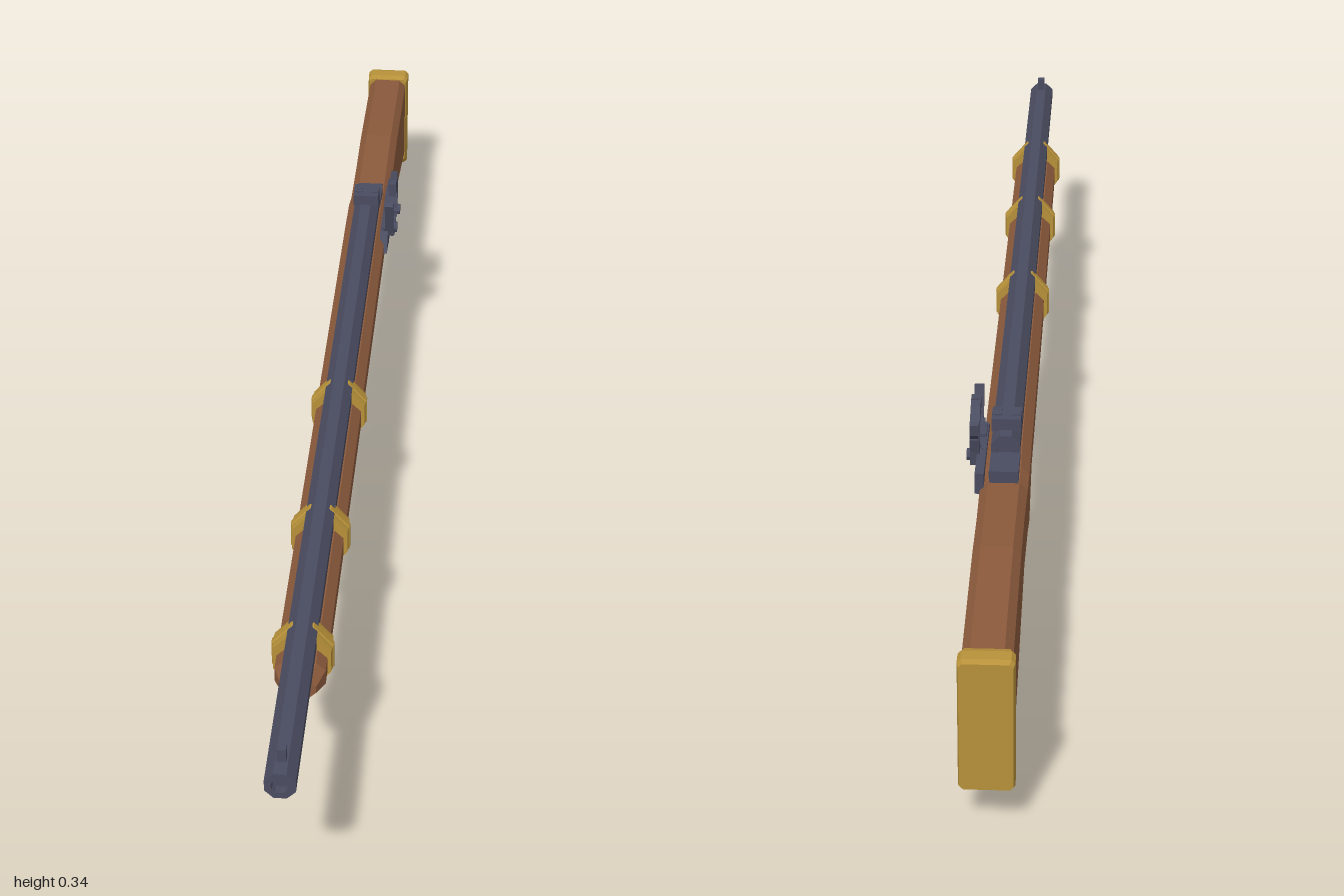
import * as THREE from 'three';

const mat = (name, color) => {
  const m = new THREE.MeshStandardMaterial({ color, flatShading: true });
  m.name = name;
  return m;
};

export function createModel() {
  const wood = mat('walnut wood', 0x8b5a3c);
  const steel = mat('blued steel', 0x4a4c60);
  const brass = mat('brass', 0xb8923a);
  const leather = mat('sling leather', 0x805136);

  const root = new THREE.Group();
  root.name = 'longRifle';
  const add = (name, geo, material, x = 0, y = 0, z = 0) => {
    const m = new THREE.Mesh(geo, material);
    m.name = name;
    m.position.set(x, y, z);
    root.add(m);
    return m;
  };

  // Chamfered rectangle, counter-clockwise seen from the front
  const ring = ([z, top, bottom, w, c]) => [
    [w, bottom + c], [w, top - c], [w - c, top], [c - w, top],
    [-w, top - c], [-w, bottom + c], [c - w, bottom], [w - c, bottom],
  ].map(([x, y]) => [x, y, z]);

  // Skin between rings that run from front to back, with end caps
  const loft = (rings) => {
    const pos = [], n = rings[0].length;
    const tri = (...p) => p.forEach((q) => pos.push(...q));
    for (let i = 0; i < rings.length - 1; i++) {
      for (let k = 0; k < n; k++) {
        const j = (k + 1) % n, a = rings[i], b = rings[i + 1];
        tri(a[k], b[k], b[j]);
        tri(a[k], b[j], a[j]);
      }
    }
    const first = rings[0], last = rings[rings.length - 1];
    for (let k = 1; k < n - 1; k++) {
      tri(first[0], first[k], first[k + 1]);
      tri(last[0], last[k + 1], last[k]);
    }
    const g = new THREE.BufferGeometry();
    g.setAttribute('position', new THREE.Float32BufferAttribute(pos, 3));
    g.computeVertexNormals();
    return g;
  };

  // Side outline of [z, y] points, given thickness from x0 to x1
  const plate = (pts, x0, x1) => {
    const shape = new THREE.Shape(pts.map(([z, y]) => new THREE.Vector2(z, y)));
    const g = new THREE.ExtrudeGeometry(shape, { depth: x1 - x0, bevelEnabled: false });
    return g.rotateY(-Math.PI / 2).translate(x1, 0, 0);
  };

  // Bent strip following [z, y, thickness] points
  const strip = (path, x0, x1) => {
    const upper = [], lower = [];
    path.forEach(([z, y, t], i) => {
      const a = path[Math.max(i - 1, 0)], b = path[Math.min(i + 1, path.length - 1)];
      const dz = b[0] - a[0], dy = b[1] - a[1], l = Math.hypot(dz, dy);
      const oz = (-dy / l) * t / 2, oy = (dz / l) * t / 2;
      upper.push([z + oz, y + oy]);
      lower.unshift([z - oz, y - oy]);
    });
    return plate([...upper, ...lower], x0, x1);
  };

  // Stock, from fore-end to butt: z, top, bottom, half width, chamfer
  add('stock', loft([
    [0.765, 0.250, 0.222, 0.024, 0.009],
    [0.74, 0.263, 0.214, 0.035, 0.013],
    [-0.415, 0.266, 0.209, 0.035, 0.013],
    [-0.495, 0.262, 0.163, 0.035, 0.012],
    [-0.53, 0.255, 0.163, 0.034, 0.012],
    [-0.62, 0.258, 0.163, 0.033, 0.011],
    [-0.725, 0.262, 0.141, 0.033, 0.011],
    [-0.785, 0.259, 0.126, 0.033, 0.011],
    [-0.97, 0.249, 0.081, 0.033, 0.011],
  ].map(ring)), wood);

  // Butt plate
  add('buttPlate', loft([
    [-0.962, 0.251, 0.078, 0.034, 0.005],
    [-0.972, 0.254, 0.068, 0.037, 0.005],
    [-0.992, 0.254, 0.060, 0.037, 0.005],
    [-1.0, 0.251, 0.062, 0.035, 0.005],
  ].map(ring)), brass);

  // Octagonal barrel with open bore
  const oct = new THREE.Shape();
  for (let i = 0; i < 8; i++) {
    const a = (i + 0.5) * Math.PI / 4;
    oct[i ? 'lineTo' : 'moveTo'](Math.cos(a) * 0.0222, Math.sin(a) * 0.0222);
  }
  oct.closePath();
  const bore = new THREE.Path();
  bore.absarc(0, 0, 0.012, 0, Math.PI * 2, true);
  oct.holes.push(bore);
  add('barrel', new THREE.ExtrudeGeometry(oct, { depth: 1.475, bevelEnabled: false, curveSegments: 6 }),
    steel, 0, 0.2785, -0.475);
  add('boreFloor', new THREE.CylinderGeometry(0.0125, 0.0125, 1.46, 12).rotateX(Math.PI / 2),
    steel, 0, 0.2785, 0.258);
  add('tang', new THREE.BoxGeometry(0.042, 0.026, 0.06), steel, 0, 0.26, -0.503);

  // Sights
  add('frontSight', new THREE.BoxGeometry(0.012, 0.024, 0.014), steel, 0, 0.307, 0.97);
  add('rearSightBase', new THREE.BoxGeometry(0.042, 0.019, 0.04), steel, 0, 0.3065, -0.435);
  for (const s of [-1, 1]) {
    add('rearSightEar', new THREE.BoxGeometry(0.014, 0.004, 0.016), steel, s * 0.014, 0.316, -0.435);
  }

  // Barrel bands with a raised centre rib
  const bandRing = (z, s) => [
    [0.041, 0.226], [0.041, 0.262], [0.015, 0.292], [-0.015, 0.292],
    [-0.041, 0.262], [-0.041, 0.226], [-0.029, 0.209], [0.029, 0.209],
  ].map(([x, y]) => [x * s, 0.25 + (y - 0.25) * s, z]);
  for (const z of [0.697, 0.432, 0.113]) {
    add('barrelBand', loft([
      bandRing(z + 0.017, 0.98), bandRing(z + 0.011, 1), bandRing(z + 0.006, 1),
      bandRing(z + 0.004, 1.05), bandRing(z - 0.004, 1.05), bandRing(z - 0.006, 1),
      bandRing(z - 0.011, 1), bandRing(z - 0.017, 0.98),
    ]), brass);
  }

  // Ramrod
  add('ramrod', new THREE.CylinderGeometry(0.005, 0.005, 0.2, 6).rotateX(Math.PI / 2), wood, 0, 0.232, 0.83);
  add('ramrodTip', new THREE.CylinderGeometry(0.009, 0.009, 0.016, 6).rotateX(Math.PI / 2), brass, 0, 0.232, 0.932);

  // Lock on the left side
  add('lockPlate', plate([
    [-0.352, 0.242], [-0.378, 0.27], [-0.535, 0.27], [-0.535, 0.238], [-0.475, 0.226], [-0.44, 0.23],
  ], 0.028, 0.041), steel);
  add('hammer', strip([
    [-0.465, 0.252, 0.018], [-0.468, 0.275, 0.017], [-0.475, 0.295, 0.014],
    [-0.467, 0.314, 0.013], [-0.447, 0.326, 0.014], [-0.425, 0.33, 0.016],
  ], 0.037, 0.051), steel);
  add('hammerSpur', strip([
    [-0.472, 0.295, 0.012], [-0.485, 0.308, 0.009], [-0.488, 0.324, 0.007],
  ], 0.038, 0.05), steel);
  add('hammerJaw', new THREE.BoxGeometry(0.012, 0.024, 0.014), steel, 0.045, 0.326, -0.428);
  add('frizzen', strip([
    [-0.39, 0.262, 0.016], [-0.381, 0.285, 0.011], [-0.368, 0.328, 0.009],
  ], 0.036, 0.05), steel);
  add('flashPan', new THREE.BoxGeometry(0.022, 0.014, 0.04), steel, 0.041, 0.268, -0.403);
  for (const [z, y] of [[-0.465, 0.264], [-0.388, 0.274]]) {
    add('lockScrew', new THREE.CylinderGeometry(0.009, 0.009, 0.022, 8).rotateZ(Math.PI / 2), steel, 0.045, y, z);
  }

  // Trigger and guard
  add('trigger', strip([
    [-0.46, 0.2, 0.012], [-0.463, 0.17, 0.01], [-0.457, 0.152, 0.008],
  ], -0.005, 0.005), steel);
  add('triggerGuard', strip([
    [-0.383, 0.213, 0.008], [-0.388, 0.183, 0.008], [-0.405, 0.162, 0.008],
    [-0.448, 0.138, 0.008], [-0.508, 0.148, 0.008], [-0.52, 0.167, 0.008],
  ], -0.007, 0.007), brass);

  // Sling and its front loop
  add('sling', strip([
    [0.436, 0.203, 0.011], [0.26, 0.067, 0.012], [-0.163, 0.0062, 0.012],
    [-0.517, 0.042, 0.011], [-0.79, 0.127, 0.011],
  ], -0.007, 0.007), leather);
  add('slingLoop', new THREE.BoxGeometry(0.014, 0.02, 0.016), leather, 0, 0.203, 0.432);

  root.position.x = -0.007;
  const model = new THREE.Group();
  model.name = 'rifle';
  model.add(root);
  return model;
}
